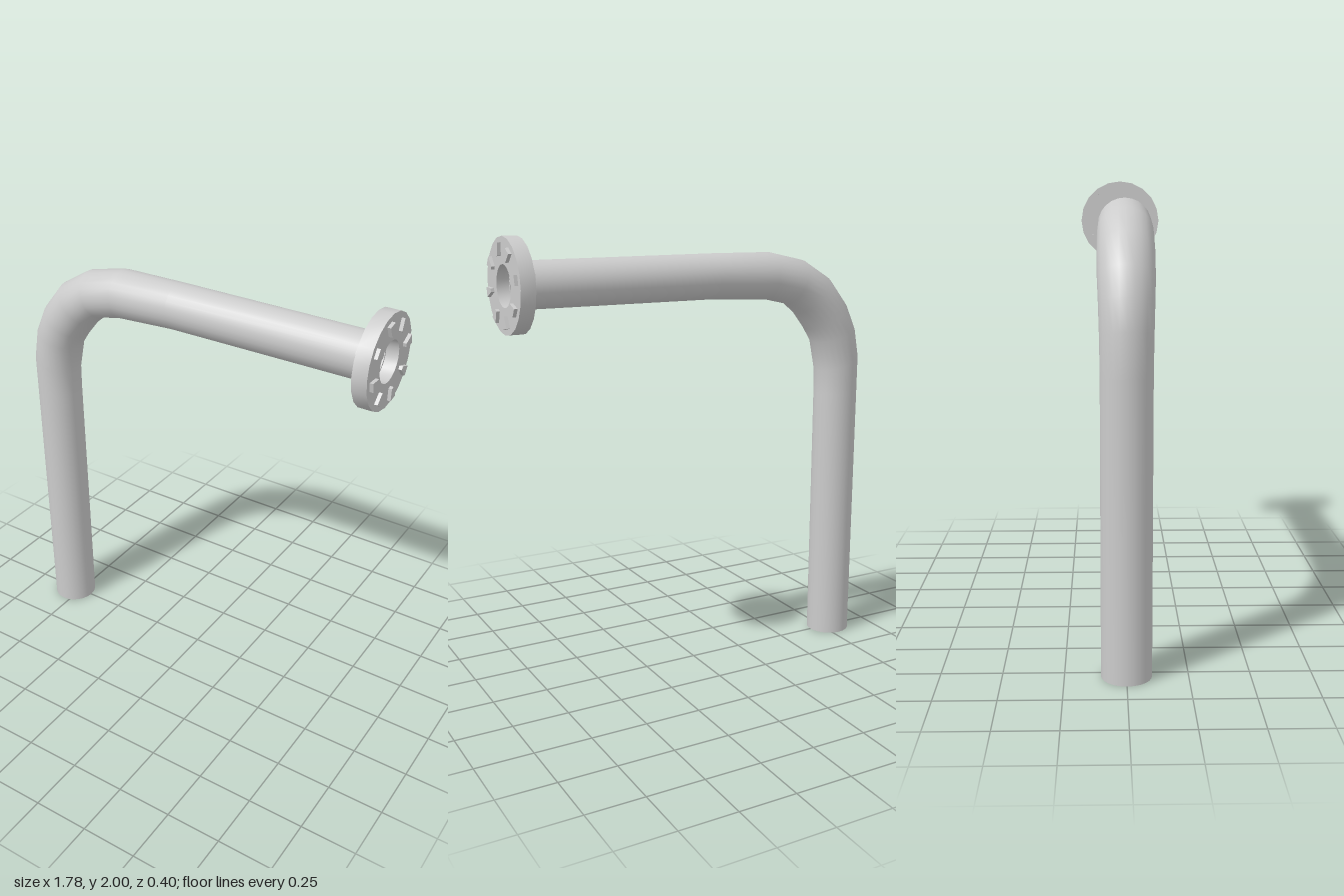
import * as THREE from 'three';
import { toCreasedNormals } from 'three/addons/utils/BufferGeometryUtils.js';

const SIDES = 24;

// Pipe cross-sections from foot to flange:
// outer-bend point x, y, inner-bend point x, y, half width in z, bore ratio
const SECTIONS = [
  [-0.885, 0, -0.68, 0, 0.103, 0.55],
  [-0.89, 1.22, -0.682, 1.22, 0.104, 0.6],
  [-0.89, 1.4, -0.68, 1.33, 0.106, 0.62],
  [-0.865, 1.53, -0.652, 1.47, 0.11, 0.64],
  [-0.81, 1.65, -0.61, 1.535, 0.114, 0.66],
  [-0.71, 1.775, -0.55, 1.61, 0.115, 0.68],
  [-0.57, 1.86, -0.49, 1.66, 0.114, 0.7],
  [-0.39, 1.9, -0.38, 1.685, 0.11, 0.72],
  [-0.1, 1.903, -0.1, 1.7, 0.102, 0.76],
  [0.82, 1.9, 0.82, 1.7, 0.1, 0.8],
];

// Skin the outside, turn over the rim, and come back along the bore
function pipeGeometry() {
  const rings = [
    ...SECTIONS.map((s) => [s, 1]),
    ...SECTIONS.slice().reverse().map((s) => [s, s[5]]),
  ];
  const positions = [];
  const index = [];
  rings.forEach(([[ox, oy, ix, iy, w], scale], i) => {
    const next = (i + 1) % rings.length;
    for (let j = 0; j < SIDES; j++) {
      const a = (j / SIDES) * Math.PI * 2;
      const c = Math.cos(a) * scale * 0.5;
      positions.push(
        (ox + ix) / 2 + (ox - ix) * c,
        (oy + iy) / 2 + (oy - iy) * c,
        w * scale * Math.sin(a)
      );
      const k = (j + 1) % SIDES;
      const p = i * SIDES, q = next * SIDES;
      index.push(p + j, p + k, q + j, p + k, q + k, q + j);
    }
  });
  const geometry = new THREE.BufferGeometry();
  geometry.setAttribute('position', new THREE.Float32BufferAttribute(positions, 3));
  geometry.setIndex(index);
  return toCreasedNormals(geometry, 0.7);
}

function circlePoints(radius, sides) {
  return Array.from({ length: sides }, (_, i) => {
    const a = (i / sides) * Math.PI * 2;
    return new THREE.Vector2(radius * Math.cos(a), radius * Math.sin(a));
  });
}

export function createModel() {
  const model = new THREE.Group();
  model.name = 'flangedPipe';
  const grey = new THREE.MeshStandardMaterial({ color: 0xcccccc });

  const addMesh = (parent, name, geometry) => {
    const mesh = new THREE.Mesh(geometry, grey);
    mesh.name = name;
    parent.add(mesh);
    return mesh;
  };

  addMesh(model, 'bentPipe', pipeGeometry());

  // Flange, extruded along its own z and turned to face +x
  const flange = new THREE.Group();
  flange.name = 'flange';
  flange.position.set(0.81, 1.8, 0);
  flange.rotation.y = Math.PI / 2;
  model.add(flange);

  const disc = new THREE.Shape(circlePoints(0.2, 20));
  disc.holes.push(new THREE.Path(circlePoints(0.088, 24)));
  const discGeometry = new THREE.ExtrudeGeometry(disc, { depth: 0.064, bevelEnabled: false });
  addMesh(flange, 'flangeDisc', toCreasedNormals(discGeometry, 0.6));

  // Wedge-shaped studs through the flange, narrow end towards the bore
  const wedge = new THREE.Shape([
    new THREE.Vector2(0.122, -0.008),
    new THREE.Vector2(0.173, -0.021),
    new THREE.Vector2(0.173, 0.021),
    new THREE.Vector2(0.122, 0.008),
  ]);
  const studGeometry = new THREE.ExtrudeGeometry(wedge, { depth: 0.09, bevelEnabled: false });
  for (let i = 0; i < 8; i++) {
    const stud = addMesh(flange, 'flangeStud', studGeometry);
    stud.position.z = -0.011;
    stud.rotation.z = THREE.MathUtils.degToRad(12 + i * 45);
  }

  return model;
}
